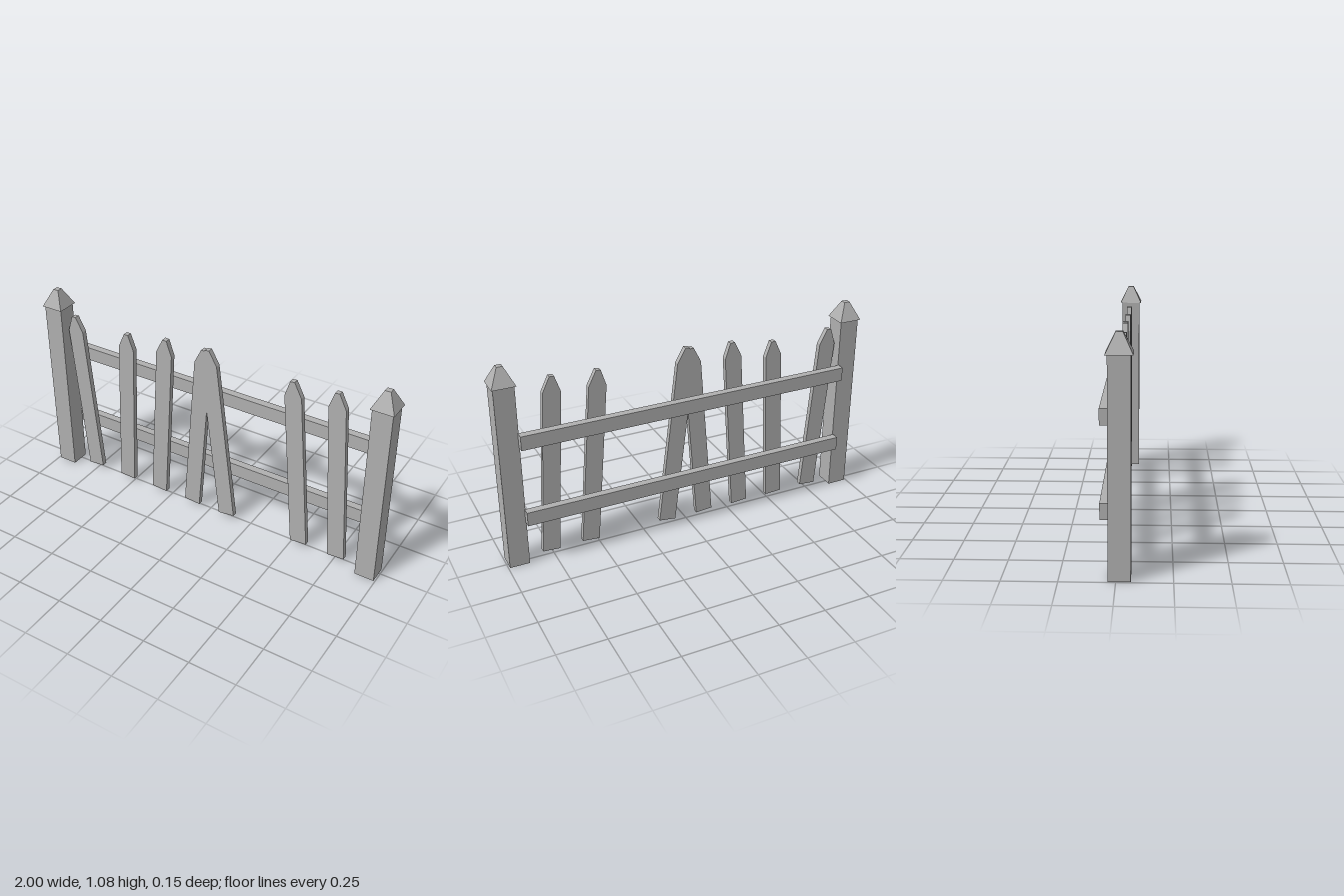
import * as THREE from 'three';

const wood = new THREE.MeshStandardMaterial({ color: 0xb0b0b0, flatShading: true });
wood.name = 'greyWood';

// Each picket: foot centre x, tip centre x, length along the board
const PICKETS = [
  [-0.758, -0.838, 0.93],
  [-0.538, -0.5, 0.92],
  [-0.322, -0.261, 0.959],
  [-0.107, -0.03, 0.972],
  [0.11, -0.009, 0.983],
  [0.545, 0.465, 0.954],
  [0.76, 0.698, 0.967],
];

function add(parent, name, geometry, x, y, z) {
  const mesh = new THREE.Mesh(geometry, wood);
  mesh.name = name;
  mesh.position.set(x, y, z);
  parent.add(mesh);
  return mesh;
}

// Flat board with a clipped point, foot at the origin
function picketGeometry(length) {
  const half = 0.046, tip = 0.012, shoulder = length - 0.082;
  const shape = new THREE.Shape([
    [-half, 0], [half, 0], [half, shoulder], [tip, length], [-tip, length], [-half, shoulder],
  ].map(([x, y]) => new THREE.Vector2(x, y)));
  return new THREE.ExtrudeGeometry(shape, { depth: 0.028, bevelEnabled: false });
}

export function createModel() {
  const fence = new THREE.Group();
  fence.name = 'fence';

  // Square end posts with truncated pyramid caps
  for (const side of [-1, 1]) {
    const post = new THREE.Group();
    post.name = side > 0 ? 'leftPost' : 'rightPost';
    post.position.set(side * 0.94, 0, 0.015);
    add(post, 'postShaft', new THREE.BoxGeometry(0.104, 0.99, 0.1), 0, 0.495, 0);
    const cap = new THREE.CylinderGeometry(0.015 * Math.SQRT2, 0.06 * Math.SQRT2, 0.092, 4);
    cap.rotateY(Math.PI / 4);
    add(post, 'postCap', cap, 0, 1.036, 0);
    fence.add(post);
  }

  // Two rails behind the pickets
  add(fence, 'lowerRail', new THREE.BoxGeometry(1.784, 0.075, 0.04), 0, 0.283, -0.055);
  add(fence, 'upperRail', new THREE.BoxGeometry(1.784, 0.075, 0.04), 0, 0.706, -0.055);

  // Crooked pickets
  PICKETS.forEach(([foot, top, length], i) => {
    const picket = add(fence, `picket${i + 1}`, picketGeometry(length), foot, 0.021, -0.003);
    picket.rotation.z = -Math.asin((top - foot) / length);
  });

  return fence;
}
